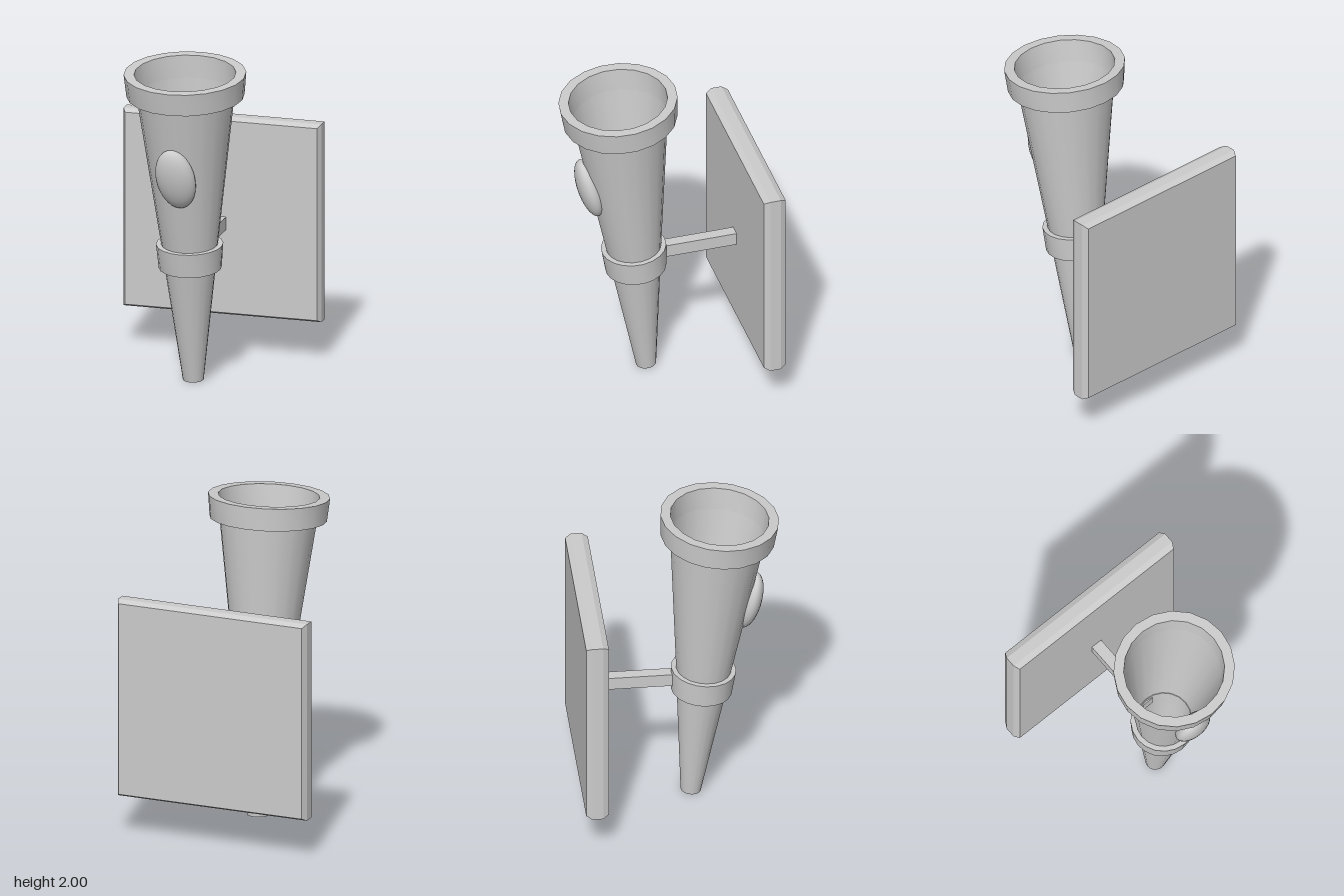
import * as THREE from 'three';
import { toCreasedNormals } from 'three/addons/utils/BufferGeometryUtils.js';

const SIDES = 20;
const material = new THREE.MeshStandardMaterial({ color: 0xcccccc });
const thinMaterial = new THREE.MeshStandardMaterial({ color: 0xcccccc, side: THREE.DoubleSide });

function addMesh(parent, name, geometry, mat = material) {
  const mesh = new THREE.Mesh(geometry, mat);
  mesh.name = name;
  parent.add(mesh);
  return mesh;
}

// Turned part from [radius, height] pairs, smooth around and sharp at the steps
function turned(points) {
  const profile = points.map(([r, y]) => new THREE.Vector2(r, y));
  return toCreasedNormals(new THREE.LatheGeometry(profile, SIDES), 0.6);
}

// Hollow band with slightly flaring walls
function band(bottom, top, outerBottom, outerTop, innerBottom, innerTop) {
  return turned([
    [innerBottom, bottom], [outerBottom, bottom], [outerTop, top],
    [innerTop, top], [innerBottom, bottom],
  ]);
}

export function createModel() {
  const model = new THREE.Group();
  model.name = 'wallTorch';

  // Tapered torch, leaning forward away from the wall
  const torch = new THREE.Group();
  torch.name = 'torch';
  torch.position.set(-0.005, 0.006, 0.082);
  torch.rotation.x = 0.089;
  torch.scale.z = 0.97;
  model.add(torch);

  addMesh(torch, 'lowerCone', turned([[0, 0], [0.063, 0], [0.156, 0.74]]), thinMaterial);
  addMesh(torch, 'collar', band(0.724, 0.876, 0.19, 0.203, 0.153, 0.168));
  addMesh(torch, 'upperCone', turned([[0.168, 0.85], [0.3, 1.86]]), thinMaterial);
  addMesh(torch, 'rim', band(1.833, 1.974, 0.356, 0.37, 0.296, 0.308));

  // Oval boss set into the front of the upper cone
  const boss = addMesh(model, 'frontBoss', new THREE.SphereGeometry(1, 28, 18));
  boss.scale.set(0.122, 0.197, 0.07);
  boss.position.set(-0.01, 1.36, 0.437);
  boss.rotation.set(0.25, 0, 0.12);

  // Square arm reaching back to the wall plate
  const arm = addMesh(model, 'arm', new THREE.BoxGeometry(0.072, 0.08, 0.5));
  arm.position.set(-0.002, 0.825, -0.242);

  // Square wall plate with chamfered edges
  const half = 0.602;
  const square = new THREE.Shape([
    new THREE.Vector2(-half, -half), new THREE.Vector2(half, -half),
    new THREE.Vector2(half, half), new THREE.Vector2(-half, half),
  ]);
  const plate = addMesh(model, 'wallPlate', new THREE.ExtrudeGeometry(square, {
    depth: 0.065, bevelThickness: 0.036, bevelSize: 0.018, bevelSegments: 1,
  }));
  plate.position.set(0, 0.865, -0.576);

  return model;
}
